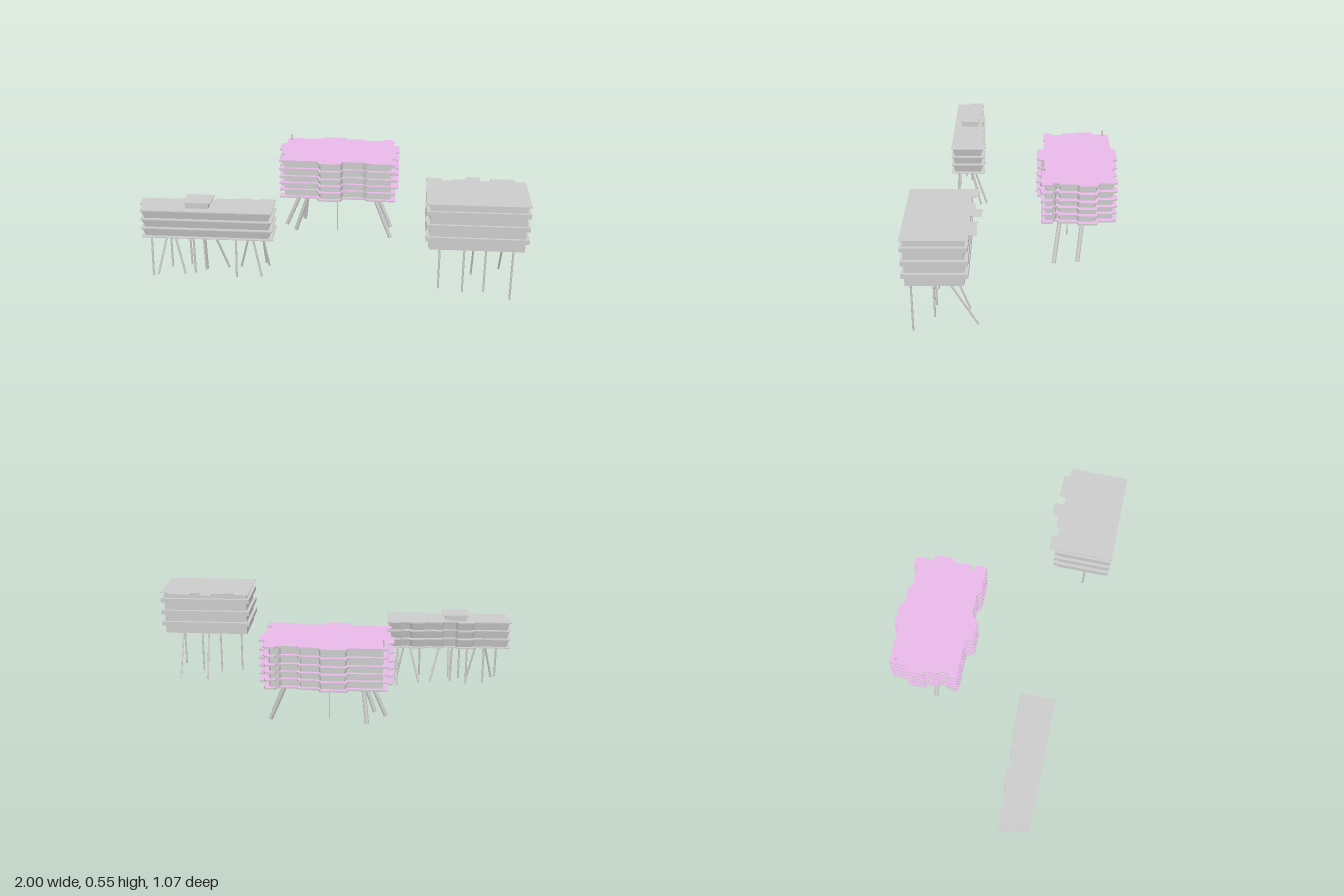
import * as THREE from 'three';

const grey = new THREE.MeshStandardMaterial({ color: 0xcccccc });
const pink = new THREE.MeshStandardMaterial({ color: 0xe8b8e8 });

function add(group, name, geometry, material = grey) {
  const mesh = new THREE.Mesh(geometry, material);
  mesh.name = name;
  group.add(mesh);
  return mesh;
}

// Box given by its limits on each axis
function box(group, name, x0, x1, y0, y1, z0, z1) {
  const mesh = add(group, name, new THREE.BoxGeometry(x1 - x0, y1 - y0, z1 - z0));
  mesh.position.set((x0 + x1) / 2, (y0 + y1) / 2, (z0 + z1) / 2);
}

// Horizontal plate from an outline of [x, z] points
function plate(outline, y, height) {
  const shape = new THREE.Shape(outline.map(([x, z]) => new THREE.Vector2(x, -z)));
  const g = new THREE.ExtrudeGeometry(shape, { depth: height, bevelEnabled: false });
  return g.rotateX(-Math.PI / 2).translate(0, y, 0);
}

// Outline shrunk towards a centre
const shrink = (outline, cx, cz, sx, sz) =>
  outline.map(([x, z]) => [cx + (x - cx) * sx, cz + (z - cz) * sz]);

// Round stilt between two points
function stilt(group, name, a, b, radius) {
  const from = new THREE.Vector3(...a), to = new THREE.Vector3(...b);
  const dir = to.clone().sub(from);
  const mesh = add(group, name, new THREE.CylinderGeometry(radius, radius, dir.length(), 12));
  mesh.position.copy(from).add(to).multiplyScalar(0.5);
  mesh.quaternion.setFromUnitVectors(new THREE.Vector3(0, 1, 0), dir.normalize());
}

// Long low building with floors that lean outward
function longBuilding() {
  const group = new THREE.Group();
  group.name = 'longBuilding';
  const outline = [
    [-1, 0.222], [-0.8, 0.222], [-0.785, 0.207], [-0.7, 0.203], [-0.69, 0.222], [-0.62, 0.222],
    [-0.61, 0.204], [-0.52, 0.208], [-0.5, 0.197], [-0.43, 0.195], [-0.42, 0.206], [-0.38, 0.206],
    [-0.37, 0.195], [-0.295, 0.195], [-0.295, 0.385], [-0.983, 0.385], [-0.983, 0.305], [-1, 0.305],
  ];
  const cx = -0.645, cz = 0.3, h = 0.05;
  for (let i = 0; i < 4; i++) add(group, 'floorSlab', plate(outline, 0.246 + i * h, 0.005));
  for (let i = 0; i < 3; i++) {
    const y = 0.249 + i * h;
    const g = plate(shrink(outline, cx, cz, 0.975, 0.93), y, h);
    const p = g.attributes.position;
    for (let k = 0; k < p.count; k++) {
      if (p.getY(k) > y + h / 2) continue;
      p.setX(k, cx + (p.getX(k) - cx) * 0.965);
      p.setZ(k, cz + (p.getZ(k) - cz) * 0.84);
    }
    g.computeVertexNormals();
    add(group, 'storey', g);
  }
  box(group, 'roofRoom', -0.75, -0.63, 0.4, 0.432, 0.243, 0.342);
  box(group, 'roofRoomCover', -0.76, -0.615, 0.43, 0.435, 0.235, 0.35);
  // top x, top z, bottom x, bottom z
  const legs = [
    [-0.935, 0.355, -0.937, 0.375], [-0.86, 0.3, -0.915, 0.36], [-0.855, 0.27, -0.857, 0.27],
    [-0.82, 0.33, -0.77, 0.35], [-0.757, 0.25, -0.757, 0.24], [-0.72, 0.33, -0.72, 0.328],
    [-0.675, 0.29, -0.67, 0.29], [-0.655, 0.34, -0.664, 0.28], [-0.61, 0.32, -0.55, 0.255],
    [-0.49, 0.35, -0.492, 0.365], [-0.425, 0.3, -0.487, 0.24], [-0.405, 0.34, -0.36, 0.35],
    [-0.365, 0.28, -0.337, 0.22], [-0.365, 0.26, -0.357, 0.188],
  ];
  for (const [x, z, bx, bz] of legs) stilt(group, 'stilt', [bx, 0.02, bz], [x, 0.25, z], 0.0055);
  return group;
}

// Central tower: stepped outline repeated on every floor
function centralBuilding() {
  const group = new THREE.Group();
  group.name = 'centralBuilding';
  const outline = [
    [-0.307, -0.51], [-0.11, -0.51], [-0.1, -0.535], [0.03, -0.535], [0.04, -0.51], [0.14, -0.51],
    [0.147, -0.495], [0.25, -0.495], [0.26, -0.515], [0.307, -0.515], [0.318, -0.49], [0.318, -0.42],
    [0.35, -0.41], [0.35, -0.318], [0.33, -0.307], [0.33, -0.21], [0.308, -0.206], [0.308, -0.187],
    [0.334, -0.18], [0.334, -0.123], [0.18, -0.123], [0.16, -0.142], [0.04, -0.142], [0.024, -0.104],
    [-0.094, -0.104], [-0.11, -0.144], [-0.32, -0.144], [-0.32, -0.185], [-0.3, -0.19], [-0.3, -0.24],
    [-0.318, -0.25], [-0.318, -0.318], [-0.337, -0.323], [-0.337, -0.414], [-0.307, -0.425],
  ];
  for (const y of [0.263, 0.306, 0.346, 0.387, 0.433, 0.481])
    add(group, 'floorSlab', plate(outline, y, 0.009), [pink, grey]);
  add(group, 'walls', plate(shrink(outline, 0.007, -0.315, 0.92, 0.9), 0.266, 0.218));
  stilt(group, 'roofPole', [-0.283, 0.485, -0.477], [-0.283, 0.527, -0.477], 0.004);
  // top x, top z, bottom x, bottom y, bottom z
  const legs = [
    [0.205, -0.23, 0.31, 0.01, -0.192], [0.205, -0.35, 0.31, 0.018, -0.318],
    [-0.16, -0.205, -0.24, 0.03, -0.222], [-0.2, -0.283, -0.3, 0.035, -0.283],
    [-0.175, -0.33, -0.203, 0.03, -0.385],
  ];
  for (const [x, z, bx, by, bz] of legs) stilt(group, 'leg', [bx, by, bz], [x, 0.268, z], 0.011);
  stilt(group, 'centrePole', [0, 0.008, -0.275], [0, 0.268, -0.275], 0.003);
  return group;
}

// Box building with projecting balcony bands
function bandedBuilding() {
  const group = new THREE.Group();
  group.name = 'bandedBuilding';
  box(group, 'walls', 0.51, 0.983, 0.297, 0.544, 0.241, 0.516);
  for (const y of [0.346, 0.414, 0.485]) box(group, 'balconyBand', 0.492, 1, y, y + 0.023, 0.221, 0.53);
  add(group, 'roof', plate([
    [0.492, 0.53], [0.492, 0.187], [0.57, 0.187], [0.575, 0.217], [0.628, 0.217], [0.634, 0.2],
    [0.698, 0.2], [0.698, 0.165], [0.767, 0.165], [0.767, 0.217], [0.82, 0.217], [0.82, 0.184],
    [0.944, 0.184], [0.95, 0.217], [1, 0.217], [1, 0.53],
  ], 0.543, 0.004));
  // top x, top z, bottom x, bottom y, bottom z
  const legs = [
    [0.57, 0.402, 0.57, 0.015, 0.402], [0.695, 0.402, 0.695, 0, 0.402], [0.805, 0.402, 0.805, 0.006, 0.402],
    [0.93, 0.495, 0.93, 0.015, 0.495], [0.9, 0.34, 0.9, 0.03, 0.185], [0.75, 0.335, 0.75, 0.015, 0.23],
  ];
  for (const [x, z, bx, by, bz] of legs) stilt(group, 'stilt', [bx, by, bz], [x, 0.3, z], 0.005);
  return group;
}

export function createModel() {
  const model = new THREE.Group();
  model.name = 'stiltBuildings';
  model.add(longBuilding(), centralBuilding(), bandedBuilding());
  return model;
}
